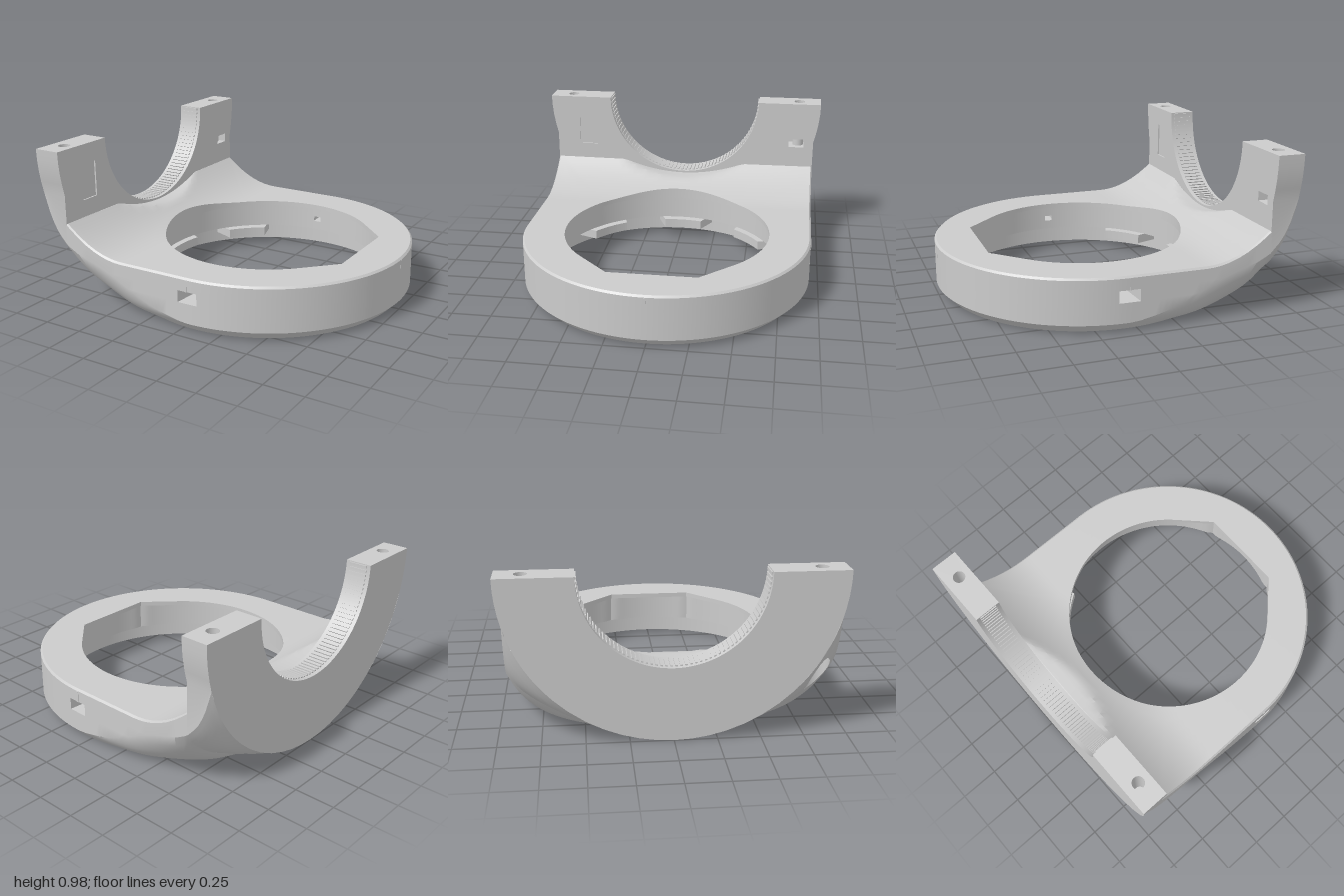
import * as THREE from 'three';
import { toCreasedNormals } from 'three/addons/utils/BufferGeometryUtils.js';

const grey = new THREE.MeshStandardMaterial({ color: 0xcccccc, side: THREE.DoubleSide });
const inside = new THREE.MeshStandardMaterial({ color: 0xcccccc, side: THREE.BackSide });
const CX = 0.06, R = 0.94, FOOT = 0.885, SADDLE_Y = 0.98, R_OUT = 0.98, R_IN = 0.54;
const BACK = -1, FACE = -0.83, SCREW_X = -0.91, SCREW_Z = 0.83, RIBS = 60;

// Height at which the swooping underside meets the vertical side wall
const EDGE = [[-1, .7], [-.95, .54], [-.9, .45], [-.83, .375], [-.75, .33], [-.6, .287],
  [-.5, .247], [-.4, .197], [-.3, .147], [-.2, .107], [-.1, .08], [0, .06], [.06, .055]];
function edgeHeight(x) {
  for (let i = 1; i < EDGE.length; i++) {
    const [x0, y0] = EDGE[i - 1], [x1, y1] = EDGE[i];
    if (x <= x1) return THREE.MathUtils.mapLinear(x, x0, x1, y0, y1);
  }
  return 0.055;
}
const circle = q => SADDLE_Y - Math.sqrt(R_OUT * R_OUT - q * q);
// Underside: flat round foot, rising to the side wall as a chamfer or a round cradle
function bottom(x, z) {
  const q = Math.min(R, x > CX ? Math.hypot(x - CX, z) : Math.abs(z));
  const dx = Math.min(0, x - CX);
  const foot = Math.sqrt(Math.max(0, FOOT * FOOT - dx * dx));
  const t = Math.max(0, (q - foot) / (R - foot));
  const w = THREE.MathUtils.smoothstep(-dx, 0, 0.5);
  return edgeHeight(x) * (w * circle(R * t) / circle(R) + (1 - w) * t);
}
// Upper side: flat, with a fillet up to the cradle and a dip in its middle
function top(x, z) {
  const t = Math.max(0, (-0.42 - x) / 0.41);
  return Math.min(0.34 + 0.18 * t * t, 0.43 + 0.45 * z * z);
}

function surface(points, index) {
  const g = new THREE.BufferGeometry().setFromPoints(points);
  g.setIndex(index);
  return toCreasedNormals(g.toNonIndexed(), 0.5);
}
function grid(rows) {
  const n = rows[0].length, index = [];
  for (let i = 0; i < rows.length - 1; i++) for (let j = 0; j < n - 1; j++) {
    const a = i * n + j, b = a + n;
    index.push(a, b, b + 1, a, b + 1, a + 1);
  }
  return surface(rows.flat(), index);
}

// Ring plate: one closed profile swept round the opening
function ringGeometry() {
  const slotHalf = Math.atan2(0.065, R), windowHalf = Math.atan2(0.025, 0.72);
  const backX = FACE - 0.005, angles = [];
  for (let i = 0; i < 160; i++) angles.push(-Math.PI + (i / 160) * Math.PI * 2);
  for (const s of [-1, 1]) {
    angles.push(s * Math.atan2(R, backX - CX), s * Math.atan2(0.27, 0.67));
    for (const h of [slotHalf, windowHalf]) angles.push(s * (Math.PI / 2 - h), s * (Math.PI / 2 + h));
  }
  angles.sort((a, b) => a - b);

  const steps = [0, .15, .3, .45, .6, .75, .9, 1];
  const columns = angles.map(a => {
    const c = Math.cos(a), s = Math.sin(a);
    const at = (r, y) => new THREE.Vector3(CX + r * c, y, r * s);
    let rOut = R, rIn = 0.67;
    if (c < 0) rOut = Math.min(R / Math.max(1e-6, Math.abs(s)), (CX - backX) / -c);
    if (c > Math.abs(s)) rIn = Math.min(0.9475 / (c + Math.abs(s)), 0.67 / c);
    const wall = Math.max(0.72, rIn + 0.01), rim = 0.84, bevel = 0.012;
    const topY = r => top(CX + r * c, r * s);
    const onBottom = r => at(r, bottom(CX + r * c, r * s));
    const low = onBottom(rOut).y;
    const p = steps.map(t => rIn + (rOut - bevel - rIn) * t).map(r => at(r, topY(r)));
    p.push(at(rOut, topY(rOut) - bevel));
    p.push(at(rOut, Math.max(0.255, low + 0.004)), at(rOut, Math.max(0.18, low + 0.002)));
    for (let k = 0; k <= 8; k++) p.push(onBottom(rOut + (FOOT - rOut) * (k / 8)));
    p.push(at(rim, 0), at(rim, 0.14));
    for (const y of [.14, .18, .2, .235, .255, .31]) p.push(at(wall, y));
    p.push(at(rIn, 0.31));
    return p;
  });
  const m = columns.length, n = columns[0].length, index = [];
  const quad = (a, b, c, d) => index.push(a, b, c, a, c, d);
  const within = (i, half) => i < m - 1 &&
    Math.abs(Math.abs((angles[i] + angles[i + 1]) / 2) - Math.PI / 2) < half;
  const outHi = steps.length + 1, outLo = outHi + 1, inLo = n - 6, inHi = n - 3, pane = n - 5;
  for (let i = 0; i < m; i++) {
    const a = i * n, b = ((i + 1) % m) * n, slot = within(i, slotHalf);
    for (let j = 0; j < n; j++) {
      const k = (j + 1) % n;
      if ((slot && j === outHi) || (j === pane && within(i, windowHalf))) continue;
      quad(a + j, b + j, b + k, a + k);
    }
    // walls of the side slots, which end in a small window
    if (slot) {
      quad(a + outHi, b + outHi, b + inHi, a + inHi);
      quad(b + outLo, a + outLo, a + inLo, b + inLo);
    }
    if (slot !== within((i + m - 1) % m, slotHalf))
      quad(a + outHi, a + outLo, a + inLo, a + inHi);
  }
  return surface(columns.flat(), index);
}

// Mirrored outline of the cradle: points [z, y], where y is open on the underside
function cradleLine(zs) {
  const half = zs.map(z => [z]);
  for (const y of [.7, .77, .84, .91, .98])
    half.push([y === .7 ? R : Math.sqrt(R_OUT ** 2 - (SADDLE_Y - y) ** 2), y]);
  return [...half.slice(1).reverse().map(([z, y]) => [-z, y]), ...half];
}
// Cradle underside, with a round counterbore below the left screw hole
function cradleOuter() {
  const bore = [-.073, -.072, -.05, -.025, 0, .025, .05, .072, .073];
  const line = cradleLine([0, .1, .2, .3, .4, .5, .6, .68, .73, ...bore.map(o => SCREW_Z + o), .922, R]);
  const xs = [BACK, -.99, ...bore.map(o => SCREW_X + o), FACE];
  return xs.map(x0 => line.map(([z0, y]) => {
    if (y !== undefined) return new THREE.Vector3(x0, y, z0);
    const dx = x0 - SCREW_X, dz = z0 - SCREW_Z;
    const m = Math.max(Math.abs(dx), Math.abs(dz)), e = Math.hypot(dx, dz);
    let x = x0, z = z0;
    if (m < 0.0731 && e > 0) { x = SCREW_X + dx * m / e; z = SCREW_Z + dz * m / e; }
    return new THREE.Vector3(x, m < 0.0725 ? 0.6 : bottom(x, z), z);
  }));
}
const arcPoint = t => [R_IN * Math.cos(t), SADDLE_Y - R_IN * Math.sin(t)];

// Flat face of the cradle, with rectangular cut-outs [z, y, width, height]
function cradleFace(x, dir, cuts) {
  const pts = cradleLine([0, .1, .2, .3, .4, .5, .6, .7, .8, .88, R])
    .map(([z, y]) => new THREE.Vector2(-dir * z, y ?? bottom(x, z)));
  for (let i = 0; i <= RIBS; i++) {
    const [z, y] = arcPoint(Math.PI * i / RIBS);
    pts.push(new THREE.Vector2(-dir * z, y));
  }
  const shape = new THREE.Shape(pts);
  for (const [z, y, w, h] of cuts) {
    const a = -dir * z - w / 2, b = y - h / 2;
    shape.holes.push(new THREE.Path([[a, b], [a, b + h], [a + w, b + h], [a + w, b]]
      .map(p => new THREE.Vector2(...p))));
  }
  return new THREE.ShapeGeometry(shape).rotateY(dir * Math.PI / 2).translate(x, 0, 0);
}

export function createModel() {
  const model = new THREE.Group();
  const add = (name, geometry, material = grey) => {
    const mesh = new THREE.Mesh(geometry, material);
    mesh.name = name;
    model.add(mesh);
    return mesh;
  };
  add('ringPlate', ringGeometry());

  // Cradle
  add('cradleUnderside', grid(cradleOuter()));
  add('cradleSaddle', grid([BACK, FACE].map(x => Array.from({ length: RIBS + 1 }, (_, i) => {
    const [z, y] = arcPoint(Math.PI * i / RIBS);
    return new THREE.Vector3(x, y, z);
  }))));
  const nutSlot = [-0.82, 0.69, 0.11, 0.06], labelPanel = [0.71, 0.74, 0.13, 0.23];
  add('cradleFront', cradleFace(FACE, 1, [nutSlot, labelPanel]));
  add('cradleBack', cradleFace(BACK, -1, []));
  for (const [name, [z, y, w, h], d] of [['nutSlot', nutSlot, 0.13], ['labelPanel', labelPanel, 0.01]])
    add(name, new THREE.BoxGeometry(d, h, w), inside).position.set(FACE - d / 2, y, z);

  // Grip ribs along the saddle
  for (let i = 0; i < RIBS; i++) {
    const t = Math.PI * (i + 0.5) / RIBS, [z, y] = arcPoint(t);
    const rib = add('gripRib', new THREE.BoxGeometry(0.12, 0.014, 0.016));
    rib.position.set(-0.915, y, z);
    rib.rotation.x = t;
  }

  // Cradle tops with screw holes
  for (const s of [-1, 1]) {
    const a = s * R_IN, b = s * R_OUT;
    const shape = new THREE.Shape([[BACK, a], [FACE, a], [FACE, b], [BACK, b]]
      .map(p => new THREE.Vector2(...p)));
    const hole = new THREE.Path();
    hole.absarc(SCREW_X, s * SCREW_Z, 0.038, 0, Math.PI * 2);
    shape.holes.push(hole);
    add('cradleTop', new THREE.ShapeGeometry(shape).rotateX(-Math.PI / 2)).position.y = SADDLE_Y;
    add('screwHole', new THREE.CylinderGeometry(0.038, 0.038, 0.38, 24, 1, true))
      .position.set(SCREW_X, 0.79, s * SCREW_Z);
    add('sideIndexMark', new THREE.BoxGeometry(0.014, 0.07, 0.006)).position.set(CX - 0.005, 0.29, s * R);
  }
  add('frontIndexMark', new THREE.BoxGeometry(0.006, 0.08, 0.014)).position.set(CX + R - 0.002, 0.285, 0);

  // Bayonet lugs under the ring
  for (const deg of [136, 182, 227]) {
    const mid = deg * Math.PI / 180, h = 0.24, lug = new THREE.Shape();
    lug.absarc(0, 0, 0.85, mid - h, mid + h, false);
    lug.absarc(0, 0, 0.69, mid + h * 0.8, mid - h * 0.8, true);
    add('bayonetLug', new THREE.ExtrudeGeometry(lug, { depth: 0.06, bevelEnabled: false, curveSegments: 8 })
      .rotateX(Math.PI / 2)).position.set(CX, 0.13, 0);
  }
  return model;
}
